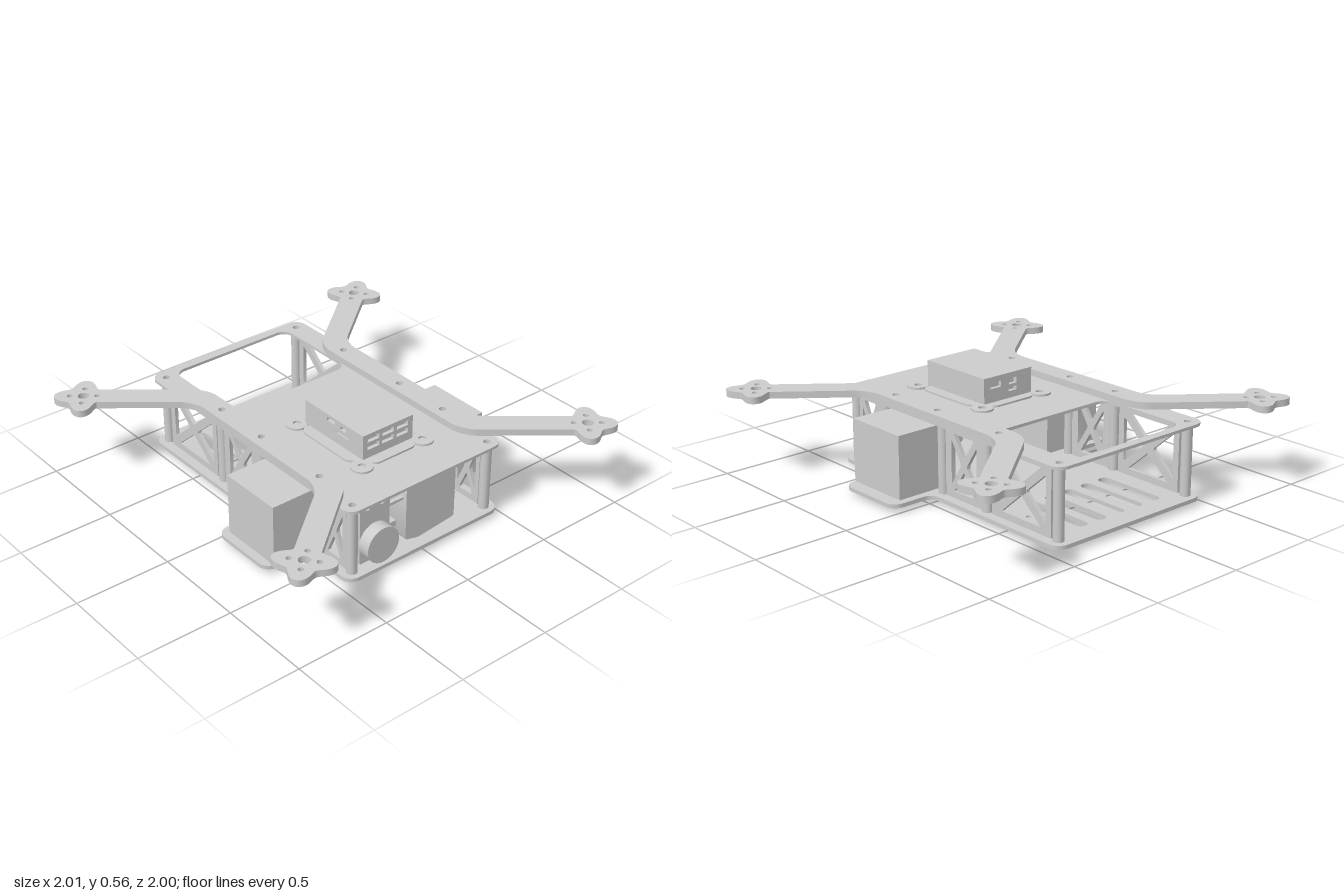
import * as THREE from 'three';
import { toCreasedNormals } from 'three/addons/utils/BufferGeometryUtils.js';

const material = new THREE.MeshStandardMaterial({ color: 0xcccccc });
const ZC = -0.005; // centre line of the frame
const POSTS_X = [-0.82, -0.34, -0.02, 0.42, 0.655];
const POST_Z = 0.42;

// Closed outline from [x, y, cornerLength] points; corners are rounded where a length is given.
function outline(points, Type = THREE.Shape) {
  const path = new Type();
  const n = points.length;
  points.forEach((p, i) => {
    const c = new THREE.Vector2(p[0], p[1]);
    const toward = (q, d) => new THREE.Vector2(q[0], q[1]).sub(c).setLength(d).add(c);
    const d = p[2] || 0;
    const a = d ? toward(points[(i + n - 1) % n], d) : c;
    if (i === 0) path.moveTo(a.x, a.y);
    else path.lineTo(a.x, a.y);
    if (d) {
      const b = toward(points[(i + 1) % n], d);
      const h1 = a.clone().lerp(c, 0.55), h2 = b.clone().lerp(c, 0.55);
      path.bezierCurveTo(h1.x, h1.y, h2.x, h2.y, b.x, b.y);
    }
  });
  path.closePath();
  return path;
}

const rect = (x0, y0, x1, y1, r, Type) =>
  outline([[x0, y0, r], [x1, y0, r], [x1, y1, r], [x0, y1, r]], Type);

function hole(x, y, r) {
  const path = new THREE.Path();
  path.absarc(x, y, r, 0, Math.PI * 2, true);
  return path;
}

function extrude(shape, depth) {
  const geo = new THREE.ExtrudeGeometry(shape, { depth, bevelEnabled: false, curveSegments: 10 });
  return toCreasedNormals(geo, 0.6);
}

// Horizontal sheet: shape y becomes z, filling heights y0 to y1.
function sheet(shape, y0, y1) {
  return extrude(shape, y1 - y0).rotateX(Math.PI / 2).translate(0, y1, 0);
}

function add(parent, name, geo, x = 0, y = 0, z = 0) {
  const mesh = new THREE.Mesh(geo, material);
  mesh.name = name;
  mesh.position.set(x, y, z);
  parent.add(mesh);
  return mesh;
}

// Box given by its limits.
function block(parent, name, [x0, x1], [y0, y1], [z0, z1]) {
  return add(parent, name, new THREE.BoxGeometry(x1 - x0, y1 - y0, z1 - z0),
    (x0 + x1) / 2, (y0 + y1) / 2, (z0 + z1) / 2);
}

function postHoles(xs, zs) {
  return xs.flatMap((x) => zs.map((z) => hole(x, z, 0.018)));
}

function bottomPlate() {
  const half = [[0.71, 0.48, 0.06], [0.39, 0.48, 0.05], [0.39, 0.715, 0.06],
    [0, 0.715, 0.06], [0, 0.48, 0.05], [-0.88, 0.48, 0.06]];
  const shape = outline([...half, ...half.map(([x, z, r]) => [x, -z, r]).reverse()]);
  shape.holes = postHoles(POSTS_X, [-POST_Z, POST_Z]);
  for (let i = 0; i < 5; i++) { // ventilation slots
    const z = (i - 2) * 0.12 + 0.035;
    shape.holes.push(rect(-0.775, z - 0.032, -0.39, z + 0.032, 0.031, THREE.Path));
  }
  shape.holes.push(hole(-0.64, -0.325, 0.013), hole(-0.52, -0.325, 0.013));
  return sheet(shape, 0.025, 0.045);
}

function topPlate() {
  const shape = rect(-0.88, -0.48, 0.71, 0.48, 0.06);
  shape.holes = postHoles(POSTS_X, [-POST_Z, POST_Z]);
  shape.holes.push(rect(-0.835, -0.36, -0.325, 0.36, 0.06, THREE.Path));
  return sheet(shape, 0.405, 0.42);
}

// Side bar with two diagonal arms, each ending in a lobed motor mount.
function armPair() {
  const cx = 0.88, cz = 0.875;
  const phi = Math.atan2(0.42 - cz, 0.51 - cx), gap = 0.715, steps = 48;
  const side = [[0.54, 0.36, 0.08]];
  for (let i = 0; i <= steps; i++) {
    const t = gap + (Math.PI * 2 - 2 * gap) * (i / steps);
    const r = 0.12 + 0.027 * Math.cos(4 * t);
    side.push([cx + r * Math.cos(phi + t), cz + r * Math.sin(phi + t)]);
  }
  side.push([0.48, 0.48, 0.08]);
  const shape = outline([...side, ...side.map(([x, z, r]) => [-x, z, r]).reverse()]);
  shape.holes = postHoles(POSTS_X.slice(1, 4), [POST_Z]);
  for (const s of [-1, 1]) {
    shape.holes.push(hole(s * cx, cz, 0.028));
    for (let k = 0; k < 4; k++) {
      const a = phi + k * Math.PI / 2;
      shape.holes.push(hole(s * (cx + 0.068 * Math.cos(a)), cz + 0.068 * Math.sin(a), 0.014));
    }
  }
  return sheet(shape, 0.42, 0.455);
}

// Upright panel with four triangular cut-outs leaving a cross.
function crossPanel(width, inset, t) {
  const shape = rect(-width / 2, -0.18, width / 2, 0.18, 0);
  const a = width / 2 - inset, b = 0.145, L = Math.hypot(a, b);
  const dx = t * L / b, dy = t * L / a, r = 0.012;
  for (const s of [-1, 1]) {
    shape.holes.push(outline([[-(a - dx), s * b, r], [a - dx, s * b, r], [0, s * dy, r]], THREE.Path));
    shape.holes.push(outline([[s * a, -(b - dy), r], [s * a, b - dy, r], [s * dx, 0, r]], THREE.Path));
  }
  return extrude(shape, 0.02).translate(0, 0, -0.01);
}

// Wall with rectangular port openings [x, y, width, height].
function portWall(w, h, ports) {
  const shape = rect(-w / 2, -h / 2, w / 2, h / 2, 0);
  shape.holes = ports.map(([x, y, pw, ph]) =>
    rect(x - pw / 2, y - ph / 2, x + pw / 2, y + ph / 2, 0, THREE.Path));
  return extrude(shape, 0.02);
}

function electronics(parent) {
  const g = new THREE.Group();
  g.name = 'electronicsCase';
  g.position.set(0.2, 0.495, ZC);
  parent.add(g);
  block(g, 'caseBody', [-0.195, 0.195], [-0.065, 0.065], [-0.135, 0.135]);
  const usb = [-0.09, 0, 0.09].flatMap((x) => [[x, 0.033, 0.072, 0.026], [x, -0.008, 0.072, 0.026]]);
  add(g, 'usbWall', portWall(0.31, 0.13, usb), 0.195).rotation.y = Math.PI / 2;
  add(g, 'rearPortWall', portWall(0.31, 0.13,
    [[-0.08, 0.02, 0.07, 0.03], [0.03, 0.02, 0.05, 0.03], [0.03, -0.02, 0.05, 0.02]]), -0.195).rotation.y = -Math.PI / 2;
  add(g, 'frontPortWall', portWall(0.39, 0.13,
    [[-0.02, 0.038, 0.06, 0.018], [0.07, 0.033, 0.042, 0.02], [0.065, -0.003, 0.09, 0.008]]), 0, 0, 0.135);
  add(g, 'backWall', portWall(0.39, 0.13, []), 0, 0, -0.155);

  // Damping frame: corner eyes joined by slim bars
  for (const sx of [-1, 1]) for (const sz of [-1, 1]) {
    const eye = new THREE.Shape().absarc(0, 0, 0.056, 0, Math.PI * 2);
    eye.holes = [hole(0, 0, 0.02)];
    add(parent, 'frameEye', sheet(eye, 0.42, 0.431), 0.205 + sx * 0.245, 0, ZC + sz * 0.19);
  }
  for (const s of [-1, 1]) {
    add(parent, 'frameBar', sheet(outline([[-0.21, -0.025], [0.21, -0.025], [0.165, 0.025, 0.02],
      [-0.165, 0.025, 0.02]].map(([x, z, r]) => [x, s * z, r])), 0.42, 0.43), 0.205, 0, ZC + s * 0.19);
    add(parent, 'frameSideBar', sheet(outline([[-0.025, -0.15], [0.025, -0.12, 0.02], [0.025, 0.12, 0.02],
      [-0.025, 0.15]].map(([x, z, r]) => [s * x, z, r])), 0.42, 0.43), 0.205 + s * 0.245, 0, ZC);
  }
}

function frontEquipment(parent) {
  // Round sensor on an upright board
  const board = rect(-0.09, 0.045, 0.09, 0.37, 0.01);
  board.holes = [hole(-0.045, 0.347, 0.014), hole(0.045, 0.347, 0.014)];
  add(parent, 'sensorBoard', extrude(board, 0.02), 0.62, 0, 0.265).rotation.y = Math.PI / 2;
  add(parent, 'sensorDisc', new THREE.CylinderGeometry(0.095, 0.095, 0.07, 40).rotateZ(Math.PI / 2), 0.67, 0.155, 0.265);
  block(parent, 'sensorArm', [0.61, 0.63], [0.29, 0.305], [0.08, 0.18]);
  // Camera body with chamfered base, side lugs and pivot below
  const body = outline([[-0.08, 0.07, 0.01], [0.0, 0.05, 0.01], [0.23, 0.075, 0.01], [0.23, 0.35, 0.015],
    [0.215, 0.365, 0.01], [-0.08, 0.365, 0.01]]);
  add(parent, 'cameraBody', extrude(body, 0.22), 0.43).rotation.y = Math.PI / 2;
  block(parent, 'cameraLug', [0.5, 0.58], [0.115, 0.145], [0.07, 0.14]);
  block(parent, 'cameraLug', [0.5, 0.58], [0.115, 0.145], [-0.3, -0.22]);
  add(parent, 'pivotCap', new THREE.CylinderGeometry(0.025, 0.022, 0.055, 24), 0.555, 0.0275, 0);
  add(parent, 'pivotWasher', new THREE.CylinderGeometry(0.042, 0.042, 0.012, 28), 0.555, 0.022, 0);
}

export function createModel() {
  const model = new THREE.Group();
  model.name = 'droneFrame';
  add(model, 'bottomPlate', bottomPlate(), 0, 0, ZC);
  add(model, 'topPlate', topPlate(), 0, 0, ZC);
  add(model, 'frontArms', armPair(), 0, 0, ZC);
  add(model, 'backArms', armPair().rotateY(Math.PI), 0, 0, ZC);

  // Hollow posts, cross panels and side boxes on both sides
  const ring = new THREE.Shape().absarc(0, 0, 0.027, 0, Math.PI * 2);
  ring.holes = [hole(0, 0, 0.018)];
  const post = sheet(ring, 0.045, 0.405);
  const panels = [[-0.58, 0.4, 0.035, 0.021], [-0.182, 0.265, 0.042, 0.016], [0.537, 0.175, 0.025, 0.014]];
  for (const s of [-1, 1]) {
    const z = ZC + s * POST_Z;
    for (const x of POSTS_X) add(model, 'post', post, x, 0, z);
    for (const [x, w, inset, t] of panels) add(model, 'crossPanel', crossPanel(w, inset, t), x, 0.225, z);
    const mid = s > 0 ? 0.49 : -0.475;
    block(model, 'sideBox', [0.04, 0.39], [0.045, 0.37], [mid - 0.175, mid + 0.175]);
  }
  electronics(model);
  frontEquipment(model);
  return model;
}
